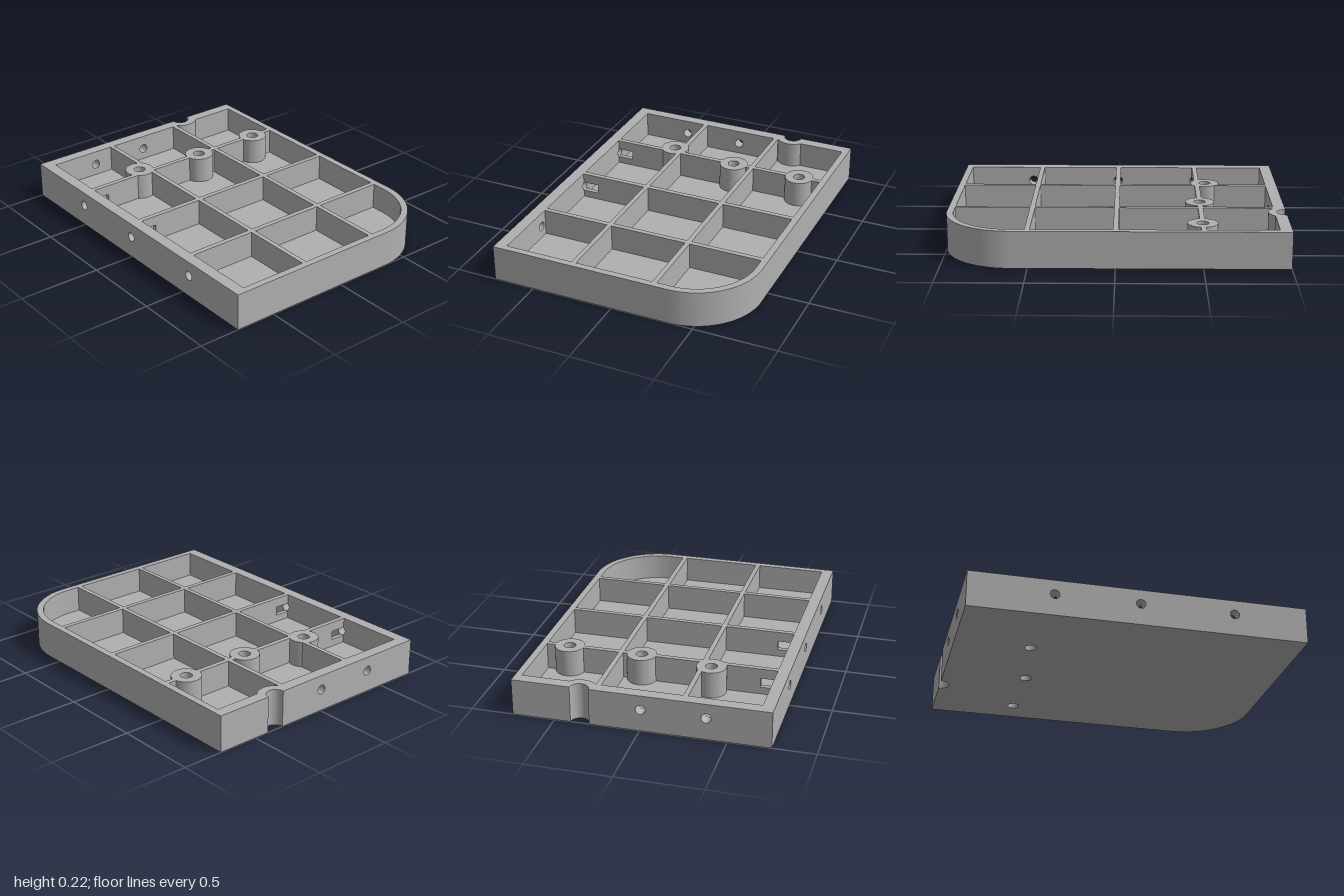
import * as THREE from 'three';
import { toCreasedNormals } from 'three/addons/utils/BufferGeometryUtils.js';

const H = 0.22;      // overall height
const FLOOR = 0.06;  // floor thickness
const HOLE_Y = 0.132, HOLE_R = 0.028;

export function createModel() {
  const group = new THREE.Group();
  const grey = new THREE.MeshStandardMaterial({ color: 0xb0b0b0 });
  grey.name = 'grey';

  const add = (name, geometry) => {
    const mesh = new THREE.Mesh(toCreasedNormals(geometry, 0.5), grey);
    mesh.name = name;
    group.add(mesh);
    return mesh;
  };
  const extrude = (shape, depth) =>
    new THREE.ExtrudeGeometry(shape, { depth, bevelEnabled: false, curveSegments: 32 });
  // Plan shapes are drawn with x right and -z up, then raised from y0 to y1
  const raise = (shape, y0, y1) => extrude(shape, y1 - y0).rotateX(-Math.PI / 2).translate(0, y0, 0);
  // Side shapes are drawn with z right and y up, then given a thickness from x0 to x1
  const sideways = (shape, x0, x1) =>
    extrude(shape, x1 - x0).rotateY(-Math.PI / 2).scale(1, 1, 1).translate(x1, 0, 0);
  const circle = (x, y, r) => new THREE.Path().absarc(x, y, r, 0, Math.PI * 2, true);
  const polygon = (...pts) => new THREE.Shape(pts.map(([x, y]) => new THREE.Vector2(x, y)));
  const rect = (x0, y0, x1, y1) => polygon([x0, y0], [x1, y0], [x1, y1], [x0, y1]);

  const bosses = [[-0.5, -0.572], [-0.5, -0.13], [-0.55, 0.3]];
  const bossR = 0.088, boreR = 0.035;

  // Floor plate with one rounded corner, an edge notch and the bores
  const floor = new THREE.Shape();
  floor.moveTo(-1, -0.75).lineTo(1, -0.75).lineTo(1, 0.35);
  floor.absarc(0.6, 0.35, 0.4, 0, Math.PI / 2, false);
  floor.lineTo(-1, 0.75).lineTo(-1, 0.405);
  floor.absarc(-1, 0.35, 0.055, Math.PI / 2, -Math.PI / 2, true);
  floor.lineTo(-1, -0.75);
  for (const [x, z] of bosses) floor.holes.push(circle(x, -z, boreR));
  add('floor', raise(floor, 0, FLOOR));

  // Rim along the right, the rounded corner, the back and the notched edge
  const a = Math.acos(0.07 / 0.105);
  const rim = new THREE.Shape();
  rim.moveTo(0.96, -0.68).lineTo(1, -0.68).lineTo(1, 0.35);
  rim.absarc(0.6, 0.35, 0.4, 0, Math.PI / 2, false);
  rim.lineTo(-1, 0.75).lineTo(-1, 0.405);
  rim.absarc(-1, 0.35, 0.055, Math.PI / 2, -Math.PI / 2, true);
  rim.lineTo(-1, 0.25).lineTo(-0.93, 0.25);
  rim.absarc(-1, 0.35, 0.105, -a, a, false);
  rim.lineTo(-0.93, 0.71).lineTo(0.6, 0.71);
  rim.absarc(0.6, 0.35, 0.36, Math.PI / 2, 0, true);
  rim.lineTo(0.96, -0.68);
  add('rim', raise(rim, FLOOR, H));

  // Front wall with three cross holes
  const front = rect(-1, FLOOR, 1, H);
  for (const x of [-0.5, 0, 0.56]) front.holes.push(circle(x, HOLE_Y, HOLE_R));
  add('frontWall', extrude(front, 0.07).translate(0, 0, 0.68));

  // Side wall with two cross holes
  const side = rect(-0.25, FLOOR, 0.68, H);
  for (const z of [0.005, 0.38]) side.holes.push(circle(z, HOLE_Y, HOLE_R));
  add('sideWall', sideways(side, -1, -0.93));

  // Ribs running across
  for (const [z0, z1] of [[-0.269, -0.24], [0.234, 0.262]])
    add('crossRib', raise(rect(-0.93, -z1, 0.96, -z0), FLOOR, H));

  // Ribs running front to back; those behind a cross hole are slotted
  const rib = (x, z0, z1, slotted) => {
    const lo = HOLE_Y - HOLE_R, hi = HOLE_Y + HOLE_R;
    const shape = slotted
      ? polygon([z0, FLOOR], [z1, FLOOR], [z1, lo], [0.58, lo], [0.58, hi], [z1, hi], [z1, H], [z0, H])
      : rect(z0, FLOOR, z1, H);
    add('lengthRib', sideways(shape, x - 0.015, x + 0.015));
  };
  rib(0.5, -0.71, 0.68, false);
  rib(-0.002, -0.71, 0.68, true);
  rib(-0.5, -0.71, -0.63, false);
  rib(-0.5, -0.52, -0.18, false);
  rib(-0.5, -0.08, 0.25, false);
  rib(-0.5, 0.35, 0.68, true);

  // Bored round bosses
  for (const [x, z] of bosses) {
    const ring = new THREE.Shape().absarc(x, -z, bossR, 0, Math.PI * 2, false);
    ring.holes.push(circle(x, -z, boreR));
    add('boss', raise(ring, FLOOR, H));
  }
  return group;
}
